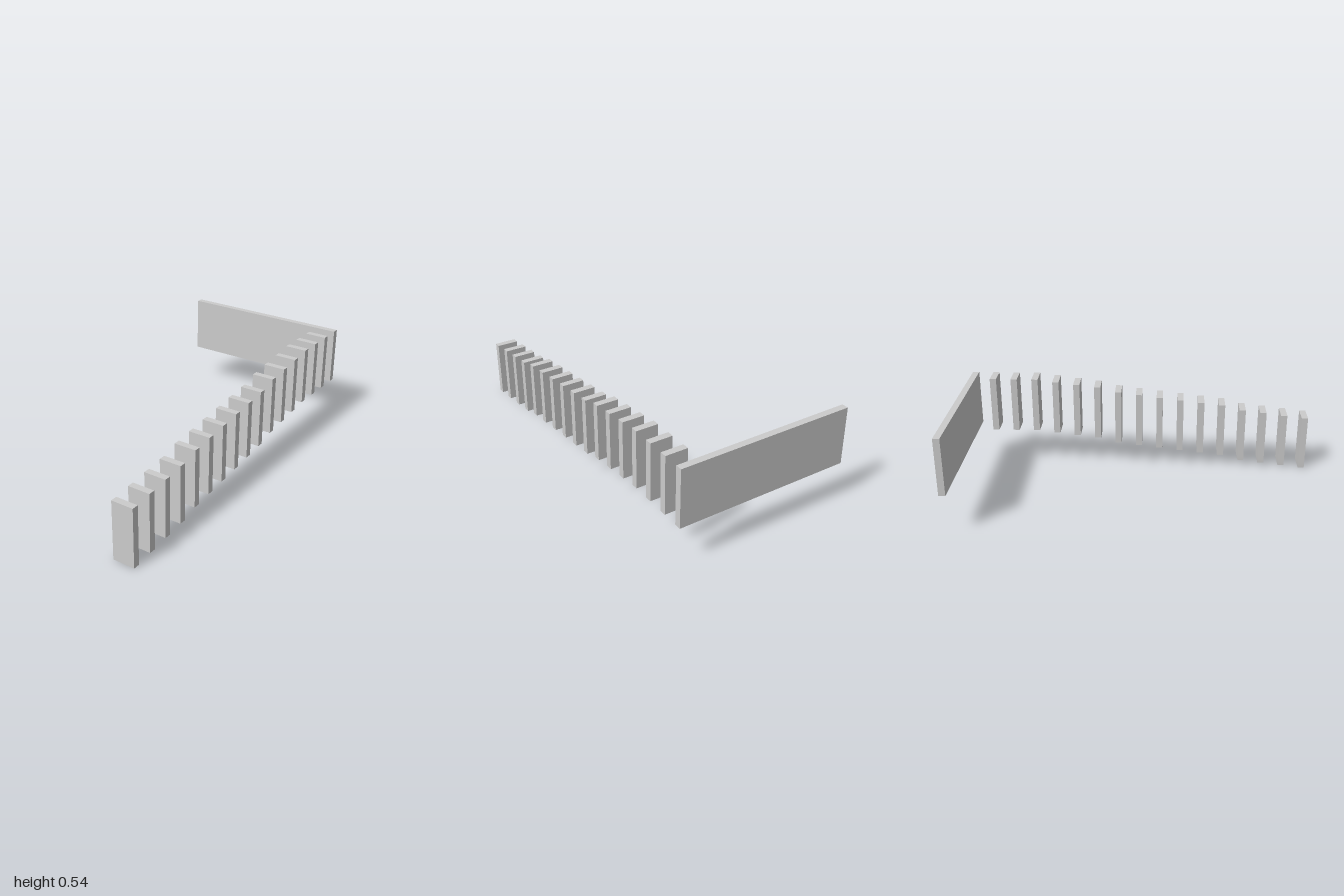
import * as THREE from 'three';

export function createModel() {
  const model = new THREE.Group();
  const material = new THREE.MeshStandardMaterial({ color: 0xcccccc, flatShading: true });

  const height = 0.322, thickness = 0.037, rise = 0.0147;
  const right = 0.489; // shared outer edge of slats and end panel
  const firstZ = 1 - thickness / 2, spacing = (2 * firstZ) / 16;

  // Upright panel whose outer edge lies on x = right
  function addPanel(name, width, bottom, z) {
    const mesh = new THREE.Mesh(new THREE.BoxGeometry(width, height, thickness), material);
    mesh.name = name;
    mesh.position.set(right - width / 2, bottom + height / 2, z);
    model.add(mesh);
  }

  // Row of slats climbing towards the back, in whole steps of the rise
  const steps = [0, 1, 2, 3, 5, 6, 7, 8, 9, 10, 12, 13, 14, 15, 15, 15];
  steps.forEach((step, i) => addPanel(`slat${i + 1}`, 0.122, step * rise, firstZ - i * spacing));

  // Wide panel closing the back end
  addPanel('endPanel', 2 * right, 15 * rise, -firstZ);

  return model;
}
